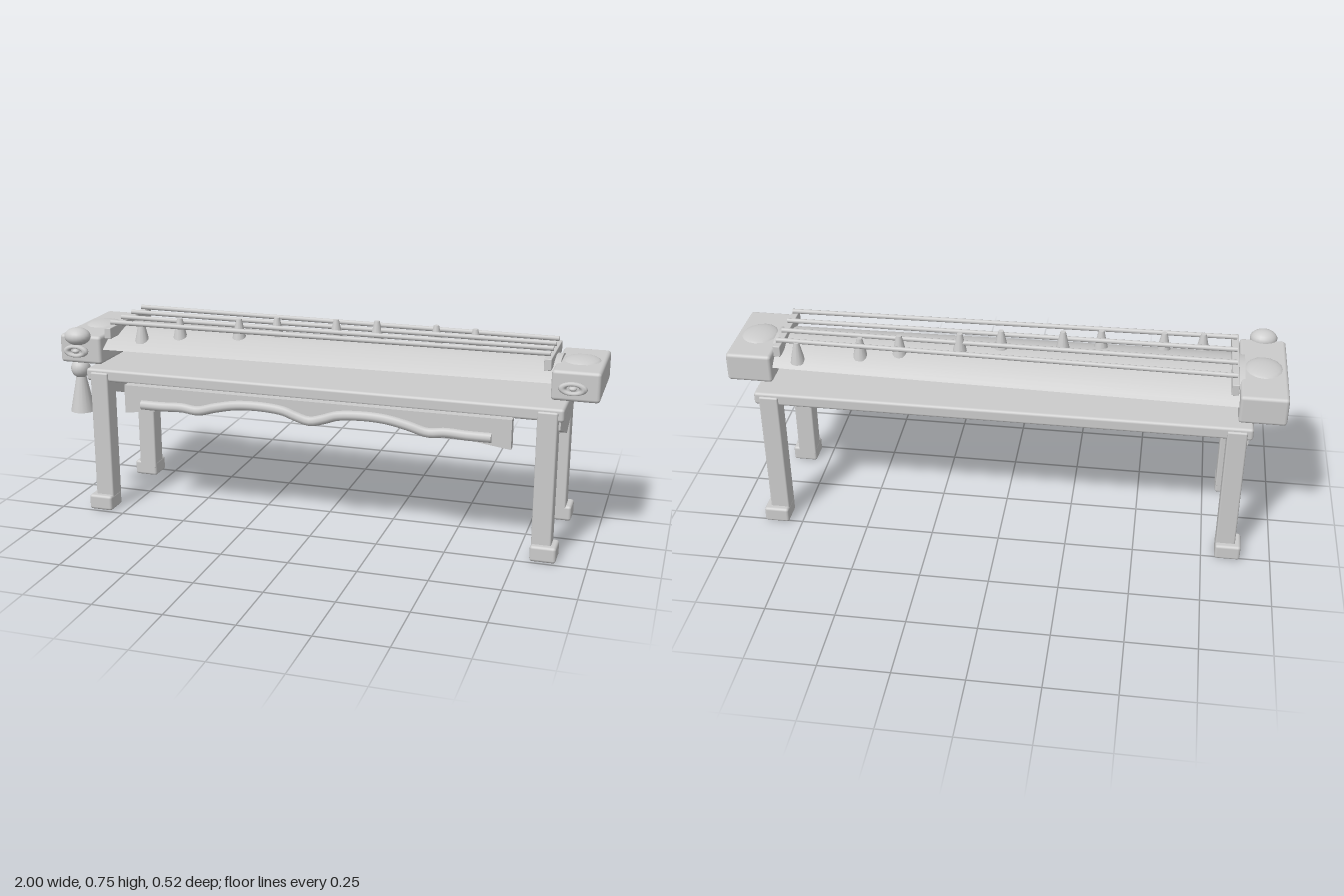
import * as THREE from 'three';
import { RoundedBoxGeometry } from 'three/addons/geometries/RoundedBoxGeometry.js';
import { toCreasedNormals } from 'three/addons/utils/BufferGeometryUtils.js';

export function createModel() {
  const model = new THREE.Group();
  model.name = 'zitherOnTable';
  const grey = new THREE.MeshStandardMaterial({ color: 0xcccccc });
  grey.name = 'lightGrey';
  const MID = -0.01; // z of the table and instrument centre line

  function add(name, geometry, x = 0, y = 0, z = 0) {
    const mesh = new THREE.Mesh(geometry, grey);
    mesh.name = name;
    mesh.position.set(x, y, z);
    model.add(mesh);
    return mesh;
  }
  // Rounded box given by its limits
  function box(name, x0, x1, y0, y1, z0, z1, r = 0.008) {
    return add(name, new RoundedBoxGeometry(x1 - x0, y1 - y0, z1 - z0, 2, r),
      (x0 + x1) / 2, (y0 + y1) / 2, (z0 + z1) / 2);
  }
  // Extrude a (z, y) profile along x, centred on x = 0
  function extrudeAlongX(shape, length, steps = 1) {
    const g = new THREE.ExtrudeGeometry(shape, { depth: length, bevelEnabled: false, steps, curveSegments: 24 });
    g.translate(0, 0, -length / 2);
    return g.rotateY(Math.PI / 2);
  }

  // Table top, legs and feet
  box('tableTop', -0.89, 0.89, 0.505, 0.552, -0.232, 0.212, 0.01);
  for (const sx of [-1, 1]) {
    for (const sz of [-1, 1]) {
      box('leg', sx * 0.835 - 0.035, sx * 0.835 + 0.035, 0.03, 0.54,
        MID + sz * 0.195 - 0.035, MID + sz * 0.195 + 0.035, 0.006);
      box('foot', sx * 0.845 - 0.046, sx * 0.845 + 0.046, 0, 0.058,
        MID + sz * 0.206 - 0.046, MID + sz * 0.206 + 0.046, 0.01);
    }
  }

  // Pointed panels under both ends
  const point = new THREE.Shape([[-0.195, 0.51], [-0.195, 0.47], [0, 0.4], [0.195, 0.47], [0.195, 0.51]]
    .map(([a, b]) => new THREE.Vector2(a, b)));
  for (const sx of [-1, 1]) add('endPanel', extrudeAlongX(point, 0.03), sx * 0.862, 0, MID);

  // Front apron with a scalloped lower edge
  const halfWave = [[0.65, 0.44], [0.57, 0.44], [0.49, 0.443], [0.43, 0.437], [0.36, 0.455],
    [0.28, 0.471], [0.19, 0.475], [0.1, 0.467], [0.05, 0.45]];
  const wave = [...halfWave.map(([x, y]) => [-x, y]), [0, 0.438], ...halfWave.slice().reverse()];
  const edge = wave.filter(([x]) => Math.abs(x) < 0.5).map(([x, y]) => new THREE.Vector2(x, y - 0.008));
  const apron = new THREE.Shape();
  apron.moveTo(-0.72, 0.51);
  apron.lineTo(-0.72, 0.403);
  apron.lineTo(edge[0].x, edge[0].y);
  apron.splineThru(edge.slice(1));
  apron.lineTo(0.72, 0.403);
  apron.lineTo(0.72, 0.51);
  add('frontApron', new THREE.ExtrudeGeometry(apron, { depth: 0.035, bevelEnabled: false, curveSegments: 40 }), 0, 0, 0.208);

  // Raised moulding that follows the apron
  const curve = new THREE.CatmullRomCurve3(wave.map(([x, y]) => new THREE.Vector3(x, y, 0)));
  add('apronMoulding', new THREE.TubeGeometry(curve, 80, 0.018, 8), 0, 0, 0.244);
  for (const sx of [-1, 1]) {
    add('mouldingEnd', new THREE.CylinderGeometry(0.018, 0.018, 0.004, 8).rotateZ(Math.PI / 2), sx * 0.65, 0.44, 0.244);
  }

  // Arched soundboard, narrowing towards the model's left
  const halfWidth = (x) => 0.17 - 0.024 * x;
  const archY = (x, z) => 0.62 + 0.065 * (1 - ((z - MID) / halfWidth(x)) ** 2);
  const arch = new THREE.Shape();
  arch.moveTo(-1, 0.62);
  for (let i = 1; i <= 24; i++) {
    const t = -1 + i / 12;
    arch.lineTo(t, 0.62 + 0.065 * (1 - t * t));
  }
  arch.closePath();
  const board = extrudeAlongX(arch, 1.7);
  const p = board.attributes.position;
  for (let i = 0; i < p.count; i++) p.setZ(i, p.getZ(i) * halfWidth(p.getX(i)));
  add('soundboard', toCreasedNormals(board, 0.6), 0, 0, MID);

  // End blocks, their low crowns and the string bars
  const ends = [
    { x0: -1, x1: -0.833, w: 0.207, bar: 0.18, barX: -0.815 },
    { x0: 0.833, x1: 1, w: 0.166, bar: 0.138, barX: 0.815 },
  ];
  for (const e of ends) {
    box('endBlock', e.x0, e.x1, 0.565, 0.672, MID - e.w, MID + e.w, 0.012);
    const crown = add('blockCrown', new THREE.SphereGeometry(1, 16, 10), (e.x0 + e.x1) / 2, 0.665, MID);
    crown.scale.set(0.07, 0.02, 0.08);
    box('stringBar', e.barX - 0.013, e.barX + 0.013, 0.66, 0.702, MID - e.bar, MID + e.bar, 0.003);
  }

  // Strings, fanned along the soundboard
  for (const k of [-1.5, -0.5, 0.5, 1.5]) {
    const line = new THREE.LineCurve3(
      new THREE.Vector3(-0.82, 0.714, MID + k * 0.09), new THREE.Vector3(0.82, 0.714, MID + k * 0.073));
    const string = add('string', new THREE.CylinderGeometry(0.009, 0.009, line.getLength(), 8));
    string.position.copy(line.getPoint(0.5));
    string.quaternion.setFromUnitVectors(new THREE.Vector3(0, 1, 0), line.getTangent(0));
  }

  // Diagonal row of small string bridges
  const bridges = [[-0.7, 0.115], [-0.56, 0.08], [-0.335, 0.053], [-0.2, 0.015], [0.02, -0.012],
    [0.165, -0.047], [0.38, -0.077], [0.52, -0.098], [0.745, -0.128]];
  for (const [x, z] of bridges) {
    add('stringBridge', new THREE.CylinderGeometry(0.01, 0.028, 0.08, 12), x, archY(x, z) + 0.027, z);
  }

  // Knotted cord loops on the front of the end blocks
  for (const [x, z] of [[-0.92, 0.225], [0.91, 0.182]]) {
    const loop = add('cordLoop', new THREE.TorusGeometry(0.036, 0.014, 8, 24), x, 0.619, z);
    loop.scale.y = 0.48;
    const bead = add('cordBead', new THREE.SphereGeometry(0.014, 10, 8), x, 0.619, z);
    bead.scale.y = 0.6;
  }

  // Knob and hanging tassel
  const knob = add('cordKnob', new THREE.SphereGeometry(1, 20, 14), -0.92, 0.672, 0.206);
  knob.scale.set(0.05, 0.033, 0.043);
  add('tasselKnot', new THREE.SphereGeometry(0.037, 16, 12), -0.94, 0.535, 0.157);
  add('tassel', new THREE.CylinderGeometry(0.018, 0.046, 0.14, 16), -0.94, 0.438, 0.157);

  return model;
}
